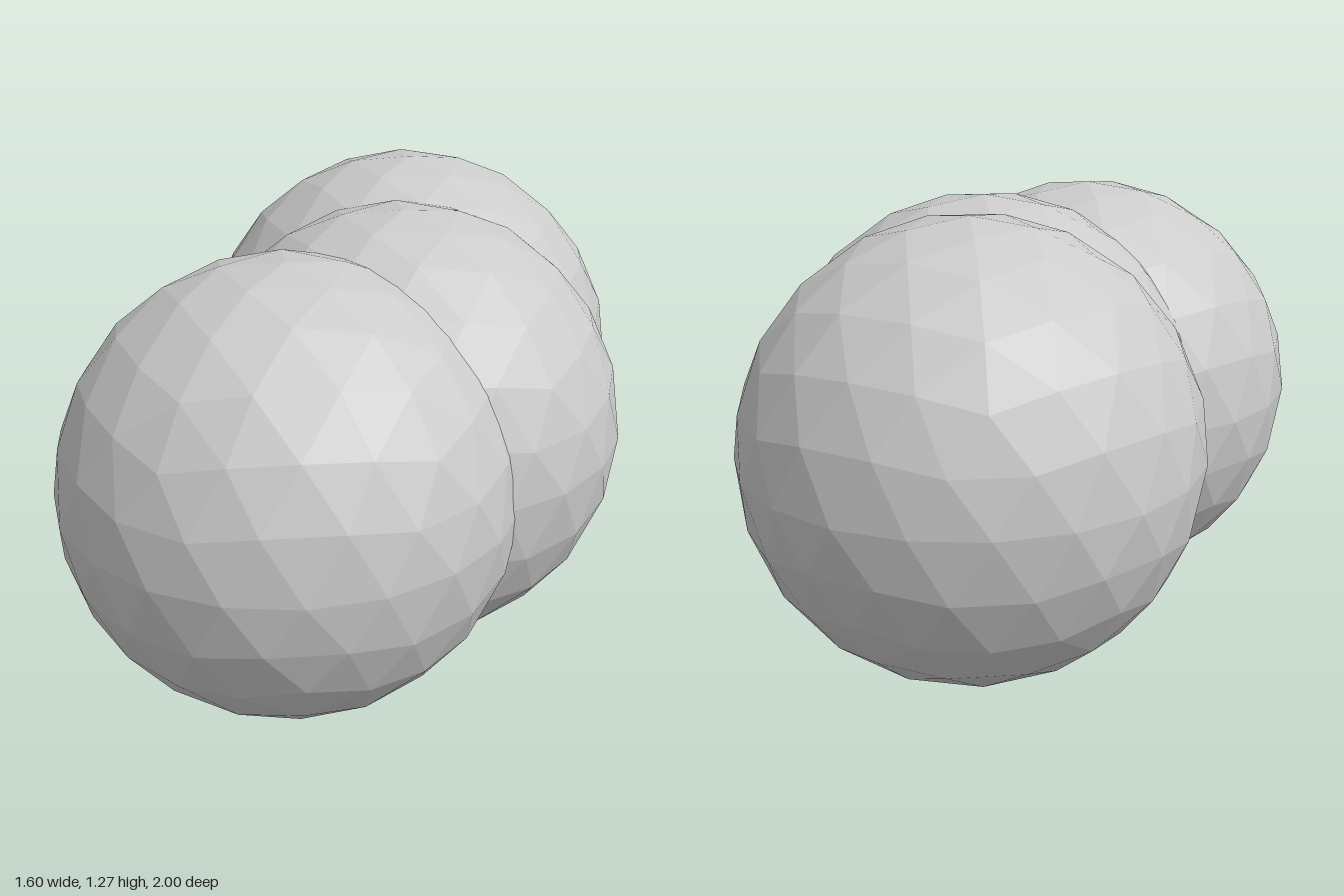
import * as THREE from 'three';

// Pole-aligned icosphere: an icosahedron standing on a vertex, halved twice
function icosphere(radius) {
  const ringY = 1 / Math.sqrt(5), ringR = 2 / Math.sqrt(5);
  const verts = [0, -1, 0, 0, 1, 0];
  for (let i = 0; i < 5; i++) {
    const low = Math.PI + (i * Math.PI * 2) / 5, high = low + Math.PI / 5;
    verts.push(ringR * Math.cos(low), -ringY, -ringR * Math.sin(low));
    verts.push(ringR * Math.cos(high), ringY, -ringR * Math.sin(high));
  }
  const faces = [];
  for (let i = 0; i < 5; i++) {
    const n = (i + 1) % 5;
    const l = 2 + 2 * i, u = 3 + 2 * i, ln = 2 + 2 * n, un = 3 + 2 * n;
    faces.push(1, u, un, 0, ln, l, l, ln, u, u, ln, un);
  }
  const once = Array.from(new THREE.PolyhedronGeometry(verts, faces, 1, 1).attributes.position.array);
  const order = Array.from({ length: once.length / 3 }, (_, i) => i);
  const geometry = new THREE.PolyhedronGeometry(once, order, radius, 1);
  geometry.computeVertexNormals();
  return geometry;
}

export function createModel() {
  const model = new THREE.Group();
  model.name = 'sphereCluster';
  const material = new THREE.MeshStandardMaterial({ color: 0xcccccc, flatShading: true });
  const geometry = icosphere(0.612);

  // Three equal overlapping balls along a bent line
  const balls = [
    ['frontBall', 0.184, 0.614, 0.388],
    ['middleBall', 0.125, 0.638, -0.07],
    ['backBall', -0.188, 0.663, -0.388],
  ];
  for (const [name, x, y, z] of balls) {
    const ball = new THREE.Mesh(geometry, material);
    ball.name = name;
    ball.position.set(x, y, z);
    model.add(ball);
  }
  return model;
}
